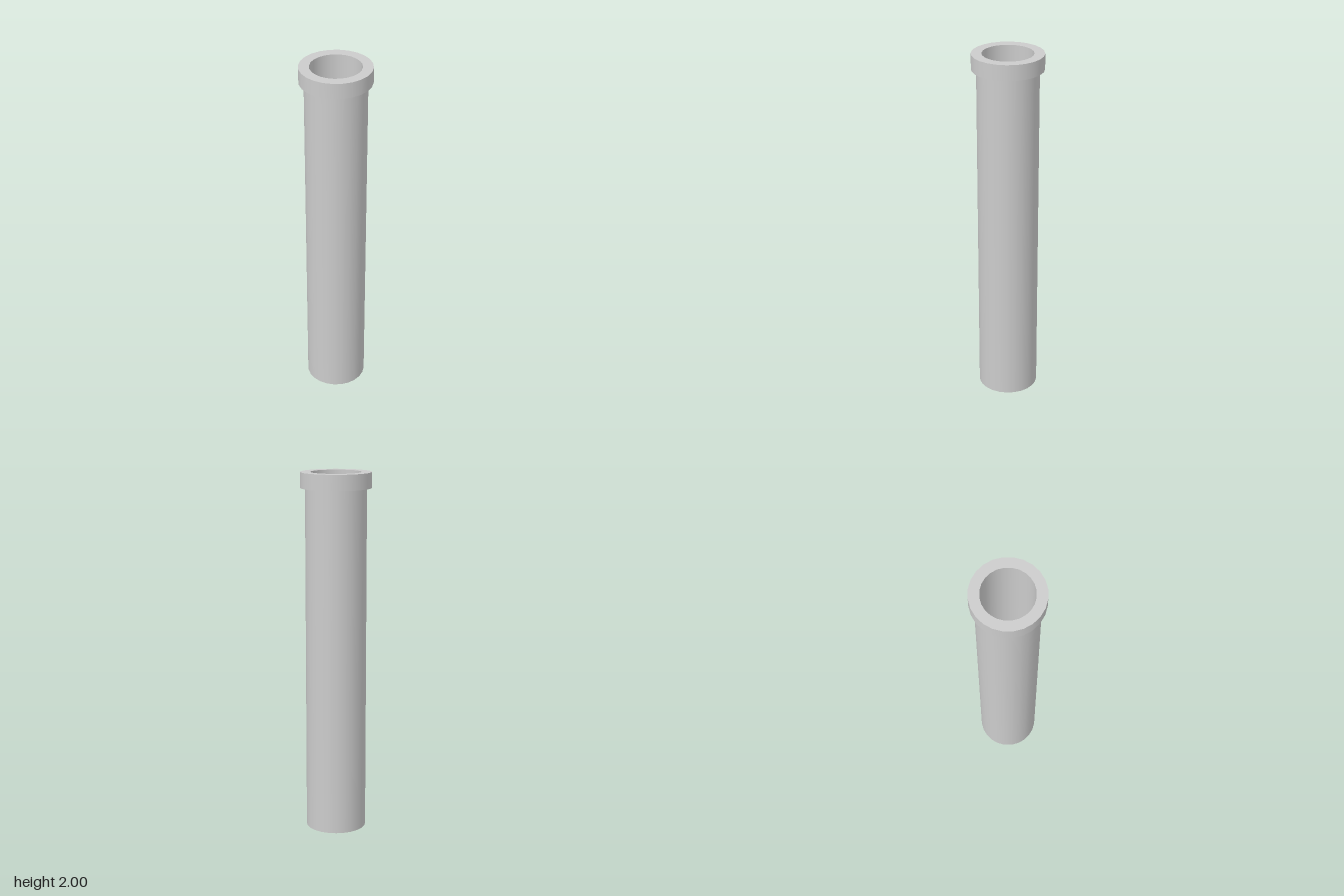
import * as THREE from 'three';

const SIDES = 24;
const material = new THREE.MeshStandardMaterial({ color: 0xcccccc, side: THREE.DoubleSide });

// One smooth band of revolution between two [radius, height] points
function band(name, from, to) {
  const points = [from, to].map(([r, y]) => new THREE.Vector2(r, y));
  const mesh = new THREE.Mesh(new THREE.LatheGeometry(points, SIDES), material);
  mesh.name = name;
  return mesh;
}

export function createModel() {
  const pipeR = 0.167, collarR = 0.194, boreR = 0.138;
  const collarY = 1.915, topY = 2;

  const pipe = new THREE.Group();
  pipe.name = 'pipe';

  // Straight outer shell, open at the foot
  pipe.add(band('outerWall', [pipeR, 0], [pipeR, collarY]));

  // Collar around the mouth; separate bands keep its edges sharp
  const collar = new THREE.Group();
  collar.name = 'collar';
  collar.add(
    band('collarUnderside', [pipeR, collarY], [collarR, collarY]),
    band('collarSide', [collarR, collarY], [collarR, topY]),
    band('collarRim', [collarR, topY], [boreR, topY])
  );

  // Bore, widening to meet the thin edge at the foot
  pipe.add(collar, band('innerWall', [boreR, topY], [pipeR, 0]));

  const model = new THREE.Group();
  model.name = 'collaredPipe';
  model.add(pipe);
  return model;
}
